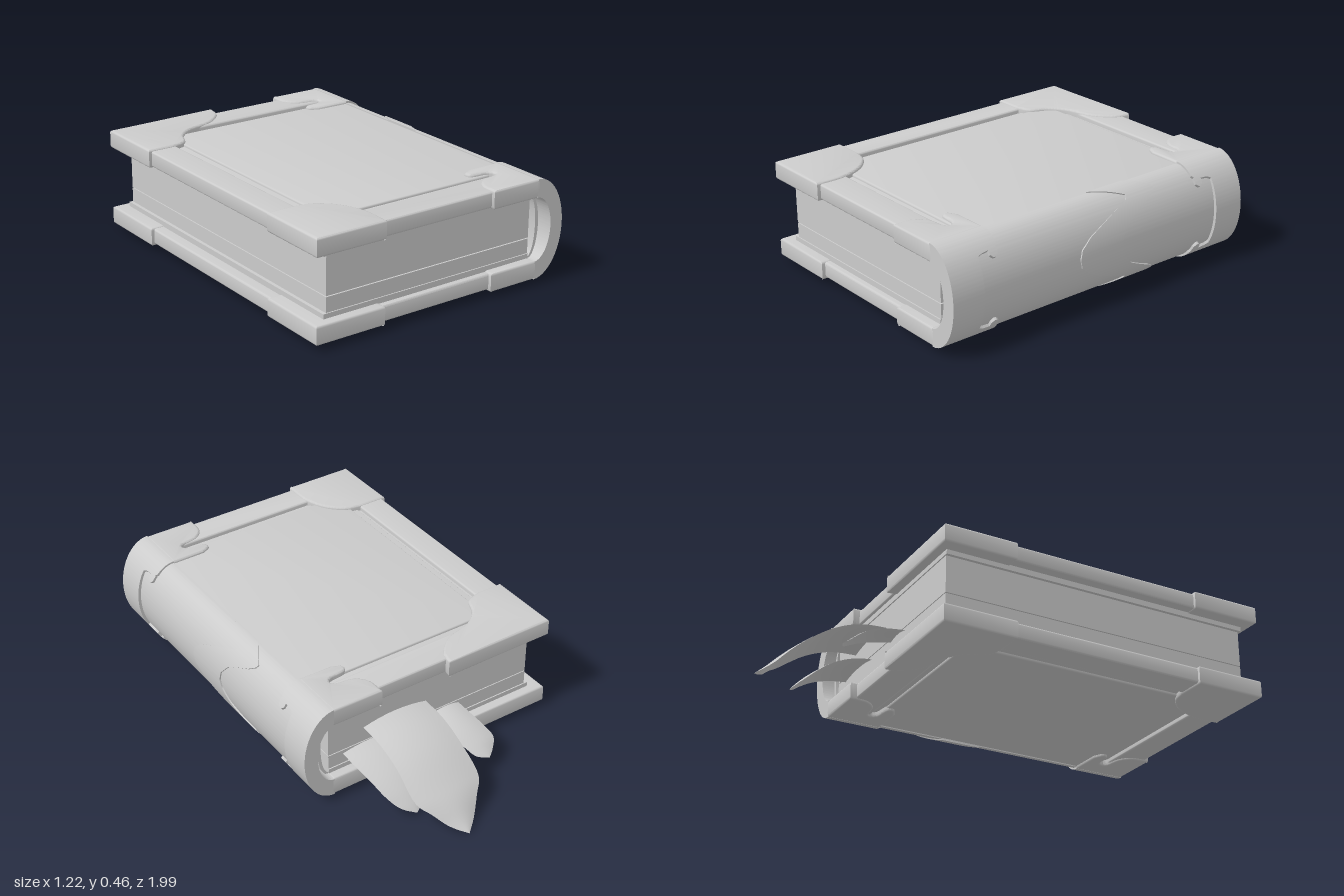
import * as THREE from 'three';
import { toCreasedNormals } from 'three/addons/utils/BufferGeometryUtils.js';

const MID = 0.25;      // mid height of the book
const HINGE = 0.47;    // x where covers meet the spine
const MIRROR_Z = 0.46; // z -> MIRROR_Z - z swaps the front and back ends

const grey = new THREE.MeshStandardMaterial({ color: 0xcccccc });
const thin = new THREE.MeshStandardMaterial({ color: 0xcccccc, side: THREE.DoubleSide });

function add(parent, name, geometry, material = grey) {
  const mesh = new THREE.Mesh(geometry, material);
  mesh.name = name;
  parent.add(mesh);
  return mesh;
}

function box(parent, name, x0, x1, y0, y1, z0, z1) {
  add(parent, name, new THREE.BoxGeometry(x1 - x0, y1 - y0, z1 - z0))
    .position.set((x0 + x1) / 2, (y0 + y1) / 2, (z0 + z1) / 2);
}

// Bevelled slab lying flat: shape is drawn in (x, z), spans y0..y1
function slab(shape, y0, y1, bevel) {
  const geo = new THREE.ExtrudeGeometry(shape, {
    depth: y1 - y0 - 2 * bevel, bevelThickness: bevel, bevelSize: bevel,
    bevelOffset: -bevel, bevelSegments: 3, curveSegments: 30,
  });
  geo.rotateX(Math.PI / 2).translate(0, y1 - bevel, 0);
  return toCreasedNormals(geo, 0.6);
}

const vec = ([x, z]) => new THREE.Vector2(x, z);
const polygon = (pts) => new THREE.Shape(pts.map(vec));

// Outline with one curved side: start, straight to second, spline, straight to end
function curvedOutline(start, second, curve, end, flip = false) {
  const f = ([x, z]) => vec([x, flip ? MIRROR_Z - z : z]);
  const s = new THREE.Shape();
  s.moveTo(f(start).x, f(start).y);
  s.lineTo(f(second).x, f(second).y);
  s.splineThru(curve.map(f));
  s.lineTo(f(end).x, f(end).y);
  return s;
}

// Piecewise interpolation of [t, value] pairs by |t|
function table(pts) {
  return (t) => {
    const a = Math.abs(t);
    let i = 1;
    while (i < pts.length - 1 && pts[i][0] < a) i++;
    const [t0, v0] = pts[i - 1], [t1, v1] = pts[i];
    return v0 + (v1 - v0) * THREE.MathUtils.clamp((a - t0) / (t1 - t0), 0, 1);
  };
}

// Half-elliptical shell round the spine; t runs from -1 (bottom) to 1 (top)
function spineShell([ao, bo], [ai, bi], zLow, zHigh, t0 = -1, t1 = 1, steps = 100) {
  const pos = [], index = [];
  for (let i = 0; i <= steps; i++) {
    const t = t0 + (t1 - t0) * i / steps, angle = t * Math.PI / 2;
    const c = Math.cos(angle), s = Math.sin(angle);
    for (const [a, b, z] of [[ao, bo, zLow(t)], [ao, bo, zHigh(t)], [ai, bi, zHigh(t)], [ai, bi, zLow(t)]])
      pos.push(HINGE + a * c, MID + b * s, z);
    if (i === steps) break;
    for (let k = 0; k < 4; k++) {
      const p = i * 4 + k, q = i * 4 + (k + 1) % 4;
      index.push(q, p, p + 4, q, p + 4, q + 4);
    }
  }
  const e = steps * 4;
  index.push(0, 1, 2, 0, 2, 3, e + 2, e + 1, e, e + 3, e + 2, e);
  const geo = new THREE.BufferGeometry();
  geo.setAttribute('position', new THREE.Float32BufferAttribute(pos, 3));
  geo.setIndex(index);
  return toCreasedNormals(geo, 0.6);
}

// Drooping ribbon from rows [z, xLeft, xRight, y], arched across its width
function ribbon(rows, arch) {
  const pos = [], index = [], n = 8, steps = 30;
  const left = new THREE.CatmullRomCurve3(rows.map(([z, l, , y]) => new THREE.Vector3(l, y, z)), false, 'centripetal');
  const right = new THREE.CatmullRomCurve3(rows.map(([z, , r, y]) => new THREE.Vector3(r, y, z)), false, 'centripetal');
  for (let i = 0; i <= steps; i++) {
    const a = left.getPoint(i / steps), b = right.getPoint(i / steps);
    const rise = arch * Math.min(1, (b.x - a.x) / 0.15);
    for (let j = 0; j <= n; j++) {
      const p = a.clone().lerp(b, j / n);
      pos.push(p.x, p.y - rise * (2 * j / n - 1) ** 2, p.z);
      if (i < steps && j < n) {
        const k = i * (n + 1) + j;
        index.push(k, k + 1, k + n + 1, k + 1, k + n + 2, k + n + 1);
      }
    }
  }
  const geo = new THREE.BufferGeometry();
  geo.setAttribute('position', new THREE.Float32BufferAttribute(pos, 3));
  geo.setIndex(index);
  geo.computeVertexNormals();
  return geo;
}

export function createModel() {
  const book = new THREE.Group();
  book.name = 'book';

  // Page block in two stacks with endpapers
  box(book, 'lowerPages', -0.535, HINGE, 0.134, 0.199, -0.485, 0.945);
  box(book, 'upperPages', -0.535, HINGE, 0.203, 0.366, -0.485, 0.945);
  box(book, 'lowerEndpaper', -0.55, HINGE, 0.108, 0.135, -0.49, 0.95);
  box(book, 'upperEndpaper', -0.55, HINGE, 0.365, 0.392, -0.49, 0.95);

  // Covers: board, raised border, inner panel and metal corners
  const border = polygon([[0.475, -0.5], [-0.597, -0.5], [-0.597, 0.975], [0.475, 0.975],
    [0.475, 0.845], [-0.475, 0.845], [-0.475, -0.37], [0.475, -0.37]]);
  const panel = polygon([[0.475, -0.335], [-0.43, -0.335], [-0.43, 0.81], [0.475, 0.81]]);
  const strip = polygon([[0.4, -0.36], [-0.462, -0.36], [-0.462, 0.832], [0.4, 0.832]]);
  const hook = [[0.245, 0.91], [0.29, 0.86], [0.365, 0.845], [0.38, 0.825], [0.36, 0.805],
    [0.29, 0.795], [0.28, 0.765], [0.32, 0.742]];
  const corners = {
    frontOuterCorner: curvedOutline([-0.61, 0.99], [-0.29, 0.99],
      [[-0.29, 0.87], [-0.33, 0.76], [-0.4, 0.69], [-0.47, 0.67]], [-0.61, 0.67]),
    backOuterCorner: curvedOutline([-0.61, -0.53], [-0.09, -0.53],
      [[-0.11, -0.46], [-0.19, -0.39], [-0.31, -0.355], [-0.38, -0.3], [-0.42, -0.225], [-0.49, -0.2]], [-0.61, -0.2]),
    frontHingeCorner: curvedOutline([0.475, 0.99], [0.24, 0.99], hook, [0.475, 0.74]),
    backHingeCorner: curvedOutline([0.475, 0.99], [0.24, 0.99], hook, [0.475, 0.74], true),
  };
  for (const side of [1, -1]) {
    const cover = new THREE.Group();
    cover.name = side > 0 ? 'topCover' : 'bottomCover';
    const span = (a, b) => (side > 0 ? [MID + a, MID + b] : [MID - b, MID - a]);
    box(cover, 'board', -0.59, HINGE, ...span(0.14, 0.186), -0.494, 0.968);
    add(cover, 'border', slab(border, ...span(0.139, 0.207), 0.008));
    add(cover, 'grooveStrip', slab(strip, ...span(0.16, 0.192), 0.004));
    add(cover, 'panel', slab(panel, ...span(0.15, 0.203), 0.008));
    for (const [name, shape] of Object.entries(corners))
      add(cover, name, slab(shape, ...span(0.135, 0.215), 0.01));
    book.add(cover);
  }

  // Spine, its lining and the wavy band wrapped round it
  const at = (z) => () => z;
  add(book, 'spine', spineShell([0.127, 0.207], [0.08, 0.14], at(-0.5), at(0.975)));
  add(book, 'spineLining', spineShell([0.052, 0.14], [0.036, 0.13], at(-0.485), at(0.945)));
  add(book, 'spineBand', spineShell([0.133, 0.212], [0.12, 0.2],
    table([[0, 0.14], [0.12, 0.13], [0.3, 0.08], [0.5, -0.04], [0.6, -0.075], [0.66, -0.08], [0.75, -0.05], [1, 0.03]]),
    table([[0, 0.36], [0.12, 0.35], [0.25, 0.3], [0.4, 0.2], [0.58, 0.08], [0.66, 0.07], [0.75, 0.11], [1, 0.22]])));

  // Spine end caps with small hooked tips
  const capEdge = table([[0, 0.843], [0.49, 0.843], [0.52, 0.82], [0.54, 0.76], [0.6, 0.745], [1, 0.74]]);
  const outer = [0.14, 0.215], inner = [0.078, 0.137];
  const flipped = (f) => (t) => MIRROR_Z - f(t);
  for (const end of ['front', 'back']) {
    const shell = (lo, hi, ...range) => (end === 'front'
      ? spineShell(outer, inner, lo, hi, ...range)
      : spineShell(outer, inner, flipped(hi), flipped(lo), ...range));
    add(book, end + 'SpineCap', shell(capEdge, at(0.99)));
    const tipLow = table([[0.42, 0.765], [0.46, 0.752], [0.56, 0.75]]);
    const tipHigh = table([[0.42, 0.775], [0.46, 0.788], [0.56, 0.79]]);
    add(book, end + 'UpperCapTip', shell(tipLow, tipHigh, 0.42, 0.56, 10));
    add(book, end + 'LowerCapTip', shell(tipLow, tipHigh, -0.56, -0.42, 10));
  }

  // Ribbon bookmarks hanging from the back edge
  add(book, 'wideBookmark', ribbon([[-0.46, -0.01, 0.3, 0.292], [-0.6, -0.01, 0.3, 0.28], [-0.72, -0.01, 0.3, 0.235],
    [-0.85, -0.01, 0.298, 0.145], [-0.9, 0.035, 0.255, 0.105], [-0.96, 0.095, 0.195, 0.045], [-1, 0.144, 0.146, 0.01]], 0.02), thin);
  add(book, 'rightBookmark', ribbon([[-0.46, 0.13, 0.4, 0.2], [-0.56, 0.13, 0.396, 0.185], [-0.65, 0.135, 0.375, 0.15],
    [-0.72, 0.16, 0.35, 0.105], [-0.77, 0.2, 0.31, 0.06], [-0.8, 0.254, 0.256, 0.025]], 0.015), thin);
  add(book, 'leftBookmark', ribbon([[-0.46, -0.18, -0.05, 0.2], [-0.55, -0.188, -0.042, 0.187], [-0.62, -0.205, -0.052, 0.163],
    [-0.68, -0.218, -0.075, 0.13], [-0.72, -0.185, -0.1, 0.1], [-0.745, -0.151, -0.149, 0.08]], 0.012), thin);
  return book;
}
